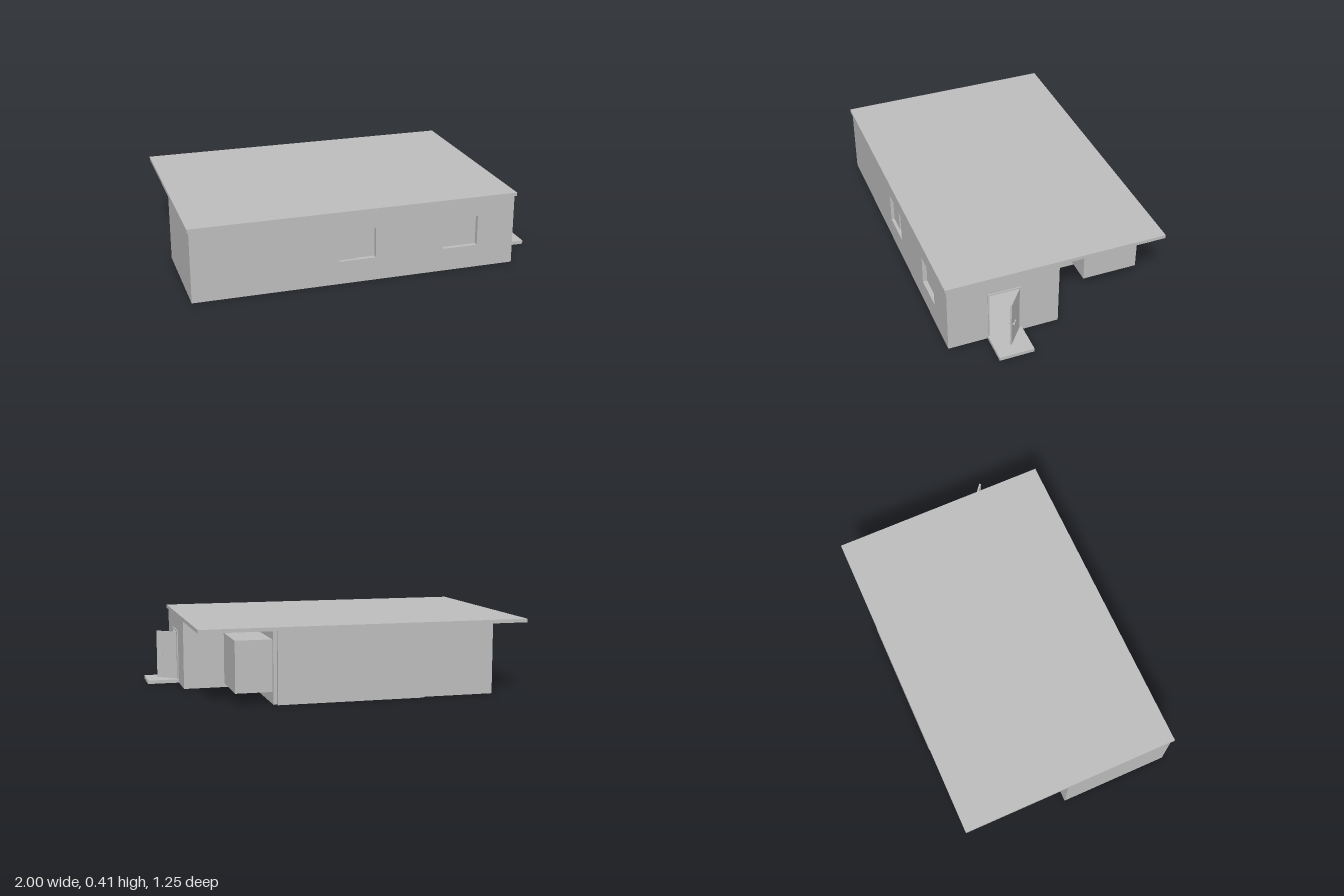
import * as THREE from 'three';

const WALL_TOP = 0.4, THICK = 0.025, FLOOR = 0.02;

export function createModel() {
  const model = new THREE.Group();
  model.name = 'house';
  const grey = new THREE.MeshStandardMaterial({ color: 0xbebebe });
  grey.name = 'plain grey';

  function add(name, geometry, parent = model) {
    const mesh = new THREE.Mesh(geometry, grey);
    mesh.name = name;
    parent.add(mesh);
    return mesh;
  }

  // Box given by its lower and upper limits on each axis
  function box(name, x0, x1, y0, y1, z0, z1, parent = model) {
    const mesh = add(name, new THREE.BoxGeometry(x1 - x0, y1 - y0, z1 - z0), parent);
    mesh.position.set((x0 + x1) / 2, (y0 + y1) / 2, (z0 + z1) / 2);
    return mesh;
  }

  // Footprint corners as [x, z], walked with the outside on the right
  const plan = [
    [-0.99, 0.61], [0.82, 0.61], [0.82, -0.015], [0.43, -0.015],
    [0.43, -0.59], [0.41, -0.59], [0.41, -0.61], [-0.4, -0.61],
    [-0.4, -0.59], [-0.81, -0.59], [-0.81, -0.015], [-0.99, -0.015],
  ];

  // Openings per wall: [start, end, bottom, top], measured along the wall
  const openings = {
    0: [[0.8, 1.005, 0.13, 0.3], [1.395, 1.595, 0.13, 0.3]],
    1: [[0.23, 0.4, FLOOR, 0.3]],
  };

  function wall(p, q, holes = []) {
    const dx = q[0] - p[0], dz = q[1] - p[1], length = Math.hypot(dx, dz);
    const rect = (s, x0, x1, y0, y1) =>
      s.moveTo(x0, y0).lineTo(x1, y0).lineTo(x1, y1).lineTo(x0, y1).closePath();
    const shape = rect(new THREE.Shape(), 0, length, 0, WALL_TOP);
    for (const h of holes) shape.holes.push(rect(new THREE.Path(), ...h));
    const geometry = new THREE.ExtrudeGeometry(shape, { depth: THICK, bevelEnabled: false });
    geometry.translate(0, 0, -THICK);
    const mesh = add('wall', geometry);
    mesh.position.set(p[0], 0, p[1]);
    mesh.rotation.y = Math.atan2(-dz, dx);
  }
  plan.forEach((p, i) => wall(p, plan[(i + 1) % plan.length], openings[i]));

  // Floor slab on the same footprint
  const floorShape = new THREE.Shape(plan.map(([x, z]) => new THREE.Vector2(x, -z)));
  const floorGeometry = new THREE.ExtrudeGeometry(floorShape, { depth: FLOOR, bevelEnabled: false });
  floorGeometry.rotateX(-Math.PI / 2);
  add('floor', floorGeometry);

  // Flat overhanging roof, projecting bay and doorstep
  box('roof', -1, 0.83, 0.395, 0.415, -0.625, 0.62);
  box('bay', 0.42, 0.63, 0.065, 0.345, -0.57, -0.25);
  box('doorstep', 0.82, 1, 0, FLOOR, 0.195, 0.39);

  // Recessed window panes, the first one a sliding pair
  box('slidingPane', -0.2, -0.085, 0.12, 0.31, 0.578, 0.592);
  box('fixedPane', -0.1, 0.025, 0.12, 0.31, 0.568, 0.58);
  box('windowPane', 0.395, 0.615, 0.12, 0.31, 0.572, 0.584);

  // Door frame
  box('doorJamb', 0.8, 0.826, FLOOR, 0.305, 0.203, 0.211);
  box('doorJamb', 0.8, 0.826, FLOOR, 0.305, 0.379, 0.387);
  box('doorHead', 0.8, 0.826, 0.298, 0.306, 0.203, 0.387);

  // Door standing ajar, turned about its hinge
  const door = new THREE.Group();
  door.name = 'door';
  door.position.set(0.825, 0, 0.217);
  door.rotation.y = -Math.atan2(0.085, 0.105);
  model.add(door);
  box('doorLeaf', 0, 0.135, 0.022, 0.297, -0.005, 0.005, door);
  for (const side of [-1, 1]) {
    const z = side * 0.013;
    box('doorHandle', 0.09, 0.125, 0.156, 0.163, z - 0.003, z + 0.003, door);
    box('handleStem', 0.118, 0.125, 0.156, 0.163, side * 0.009 - 0.005, side * 0.009 + 0.005, door);
  }

  // Inner partitions with a closed inner door
  box('partition', 0.25, 0.27, FLOOR, WALL_TOP, 0, 0.59);
  box('partition', -0.97, 0.8, FLOOR, WALL_TOP, -0.01, 0.01);
  box('innerDoor', 0.27, 0.278, FLOOR, 0.3, 0.315, 0.46);
  box('innerHandle', 0.278, 0.288, 0.156, 0.163, 0.33, 0.36);

  // Small table inside the entrance
  box('tableTop', 0.45, 0.65, 0.1, 0.11, 0.4, 0.55);
  for (const x of [0.46, 0.63])
    for (const z of [0.41, 0.53]) box('tableLeg', x, x + 0.01, FLOOR, 0.1, z, z + 0.01);

  return model;
}
